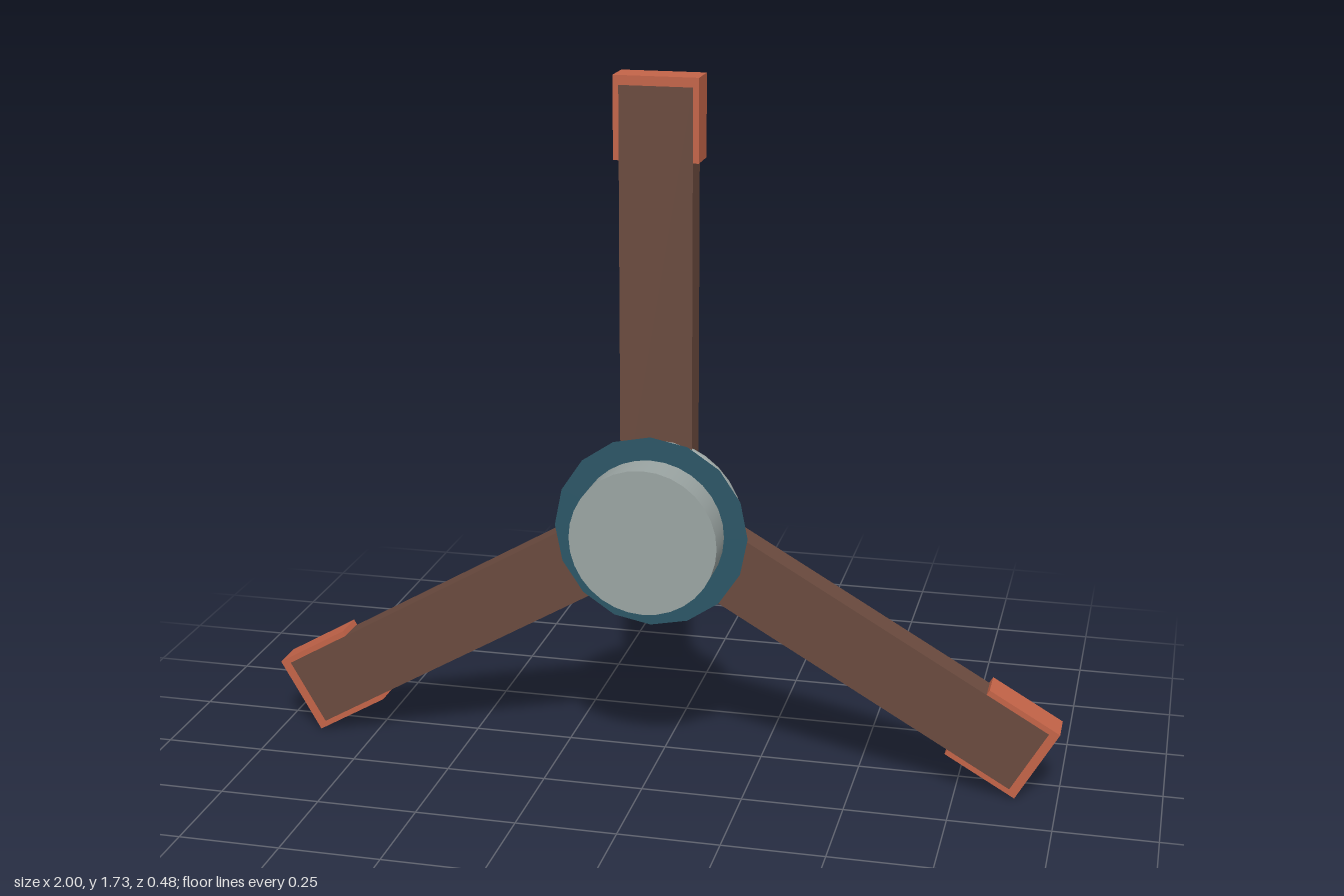
import * as THREE from 'three';

export function createModel() {
  const model = new THREE.Group();
  model.name = 'propeller';
  const rotor = new THREE.Group();
  rotor.name = 'rotor';
  rotor.position.y = 0.638;
  model.add(rotor);

  const paint = (color) => new THREE.MeshStandardMaterial({ color });
  const metal = paint(0x9ba5a3);
  const teal = paint(0x2b5666);
  const wood = paint(0x6a4a3e);
  const orange = paint(0xc46448);

  function add(parent, name, geometry, material, x = 0, y = 0, z = 0) {
    const mesh = new THREE.Mesh(geometry, material);
    mesh.name = name;
    mesh.position.set(x, y, z);
    parent.add(mesh);
    return mesh;
  }

  // Hub drum along z, passing through the spinner cone
  const drum = new THREE.CylinderGeometry(0.182, 0.182, 0.226, 32).rotateX(Math.PI / 2);
  add(rotor, 'hubDrum', drum, metal, 0, 0, 0.127);

  // One long cone: its rim flares in front, its tip points backwards
  const cone = new THREE.ConeGeometry(0.24, 0.395, 16).rotateX(-Math.PI / 2);
  add(rotor, 'spinnerCone', cone, teal, 0, 0, -0.0425);

  // Ring seated on the cone behind the flared rim
  add(rotor, 'collarRing', new THREE.TorusGeometry(0.195, 0.023, 10, 32), metal, 0, 0, 0.09);

  // Three blades with tip caps
  for (let i = 0; i < 3; i++) {
    const blade = new THREE.Group();
    blade.name = 'blade' + (i + 1);
    blade.rotation.z = (i * Math.PI * 2) / 3;
    add(blade, 'bladePlank', new THREE.BoxGeometry(0.178, 1.072, 0.075), wood, 0, 0.536, 0.0585);
    add(blade, 'bladeTip', new THREE.BoxGeometry(0.206, 0.2, 0.084), orange, 0, 0.995, 0.053);
    rotor.add(blade);
  }
  return model;
}
